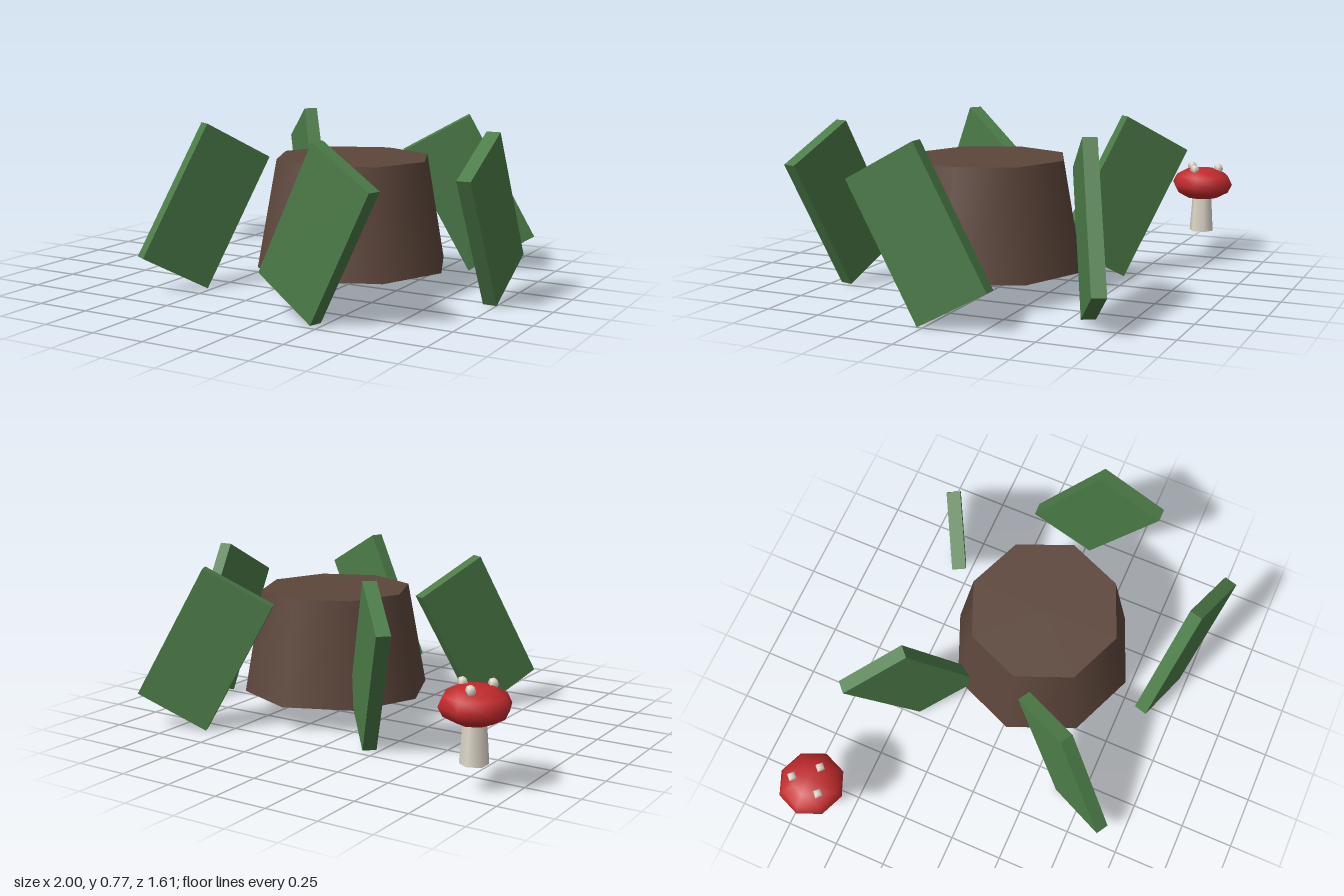
import * as THREE from 'three';

function material(name, color) {
  const m = new THREE.MeshStandardMaterial({ color });
  m.name = name;
  return m;
}

export function createModel() {
  const model = new THREE.Group();
  model.name = 'stumpWithMushroom';

  const bark = material('bark brown', 0x5d463b);
  const green = material('leaf green', 0x4c7c48);
  const red = material('cap red', 0xc22a2c);
  const cream = material('cream', 0xdfd8ca);

  function add(parent, name, geometry, mat, x, y, z) {
    const mesh = new THREE.Mesh(geometry, mat);
    mesh.name = name;
    mesh.position.set(x, y, z);
    parent.add(mesh);
    return mesh;
  }

  // Tapered eight-sided stump
  const cx = 0.286, cz = 0.03;
  add(model, 'stump', new THREE.CylinderGeometry(0.36, 0.45, 0.495, 8), bark, cx, 0.3655, cz);

  // Tilted leaf slabs spaced around the stump
  const leafGeometry = new THREE.BoxGeometry(0.064, 0.676, 0.36);
  for (let i = 0; i < 5; i++) {
    const a = i * 1.3;
    const leaf = add(model, 'leaf' + (i + 1), leafGeometry, green,
      cx + Math.cos(a) * 0.682, 0.384, cz + Math.sin(a) * 0.682);
    leaf.rotation.set(0.5, a, 0, 'YXZ');
  }

  // Mushroom: stem, flattened cap and three spots
  const mushroom = new THREE.Group();
  mushroom.name = 'mushroom';
  mushroom.position.set(-0.845, 0, -0.65);
  model.add(mushroom);
  add(mushroom, 'stem', new THREE.CylinderGeometry(0.045, 0.061, 0.24, 6), cream, 0, 0.24, 0);
  const cap = add(mushroom, 'cap', new THREE.SphereGeometry(0.155, 8, 6), red, 0, 0.366, 0);
  cap.scale.y = 0.54;
  const spotGeometry = new THREE.SphereGeometry(0.025, 4, 4);
  for (const [x, z] of [[-0.02, -0.077], [0.07, 0.022], [-0.045, 0.067]]) {
    add(mushroom, 'spot', spotGeometry, cream, x, 0.443, z);
  }

  return model;
}
